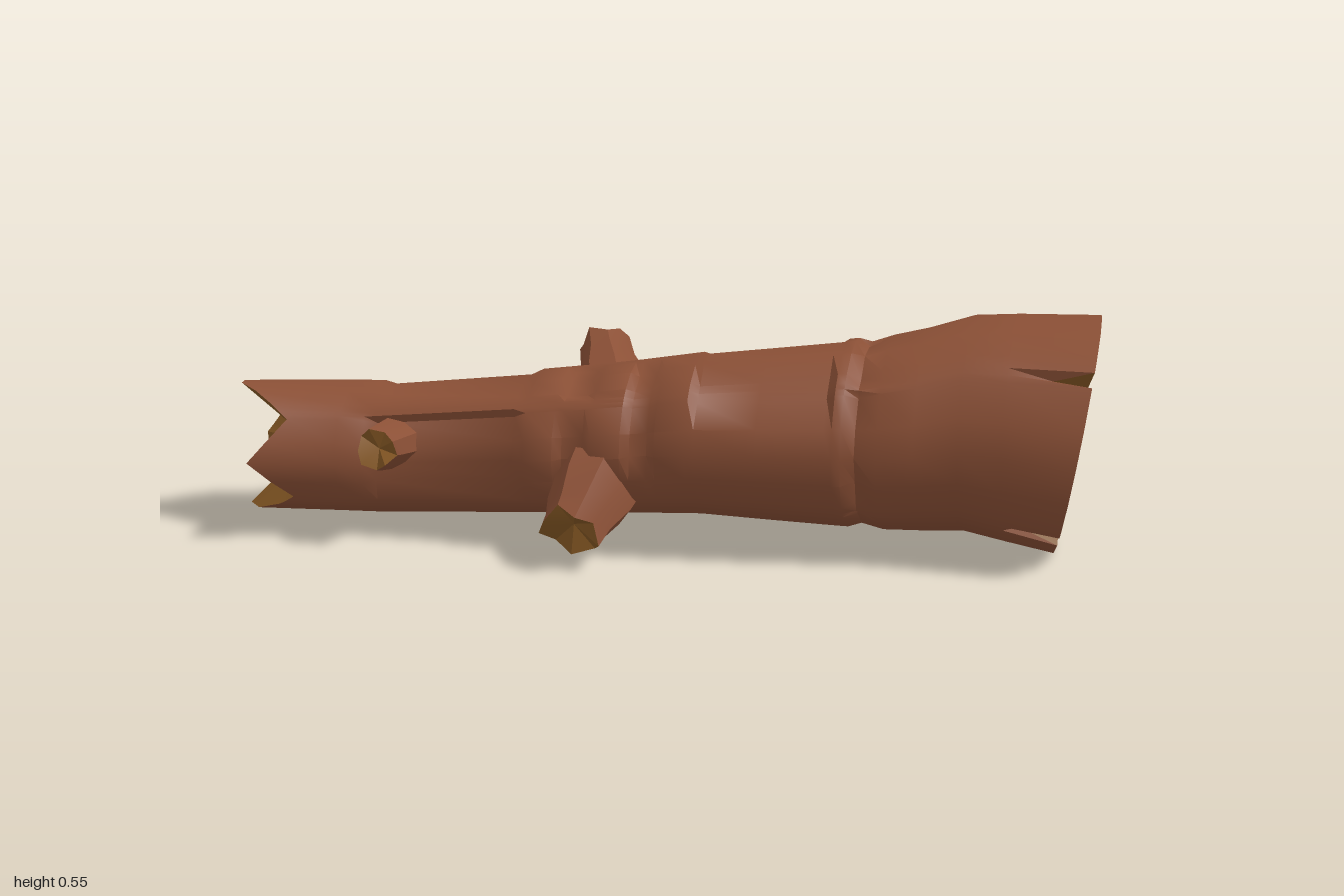
import * as THREE from 'three';
import { toCreasedNormals } from 'three/addons/utils/BufferGeometryUtils.js';

const RAD = Math.PI / 180;

// Skin over rings of points that run towards +x
function loft(rings) {
  const n = rings[0].length, index = [];
  for (let j = 0; j < rings.length - 1; j++) {
    for (let i = 0; i < n; i++) {
      const a = j * n + i, b = j * n + (i + 1) % n;
      index.push(a, a + n, b, b, a + n, b + n);
    }
  }
  return finish(rings.flat(2), index, 38);
}

// Fan closing one ring, facing +x or -x
function fan(ring, centre, facing) {
  const n = ring.length, index = [];
  for (let i = 0; i < n; i++) {
    const k = (i + 1) % n;
    index.push(n, facing > 0 ? k : i, facing > 0 ? i : k);
  }
  return finish([...ring.flat(), ...centre], index, 25);
}

function finish(points, index, crease) {
  const g = new THREE.BufferGeometry();
  g.setAttribute('position', new THREE.Float32BufferAttribute(points, 3));
  g.setIndex(index);
  return toCreasedNormals(g, crease * RAD);
}

// Linear lookup in rows of [key, values...]
function lookup(rows, key) {
  let k = 0;
  while (k < rows.length - 2 && key > rows[k + 1][0]) k++;
  const p = rows[k], q = rows[k + 1], t = (key - p[0]) / (q[0] - p[0]);
  return p.slice(1).map((v, i) => v + (q[i + 1] - v) * t);
}

// Trunk extents: x, bottom, top, back, front
const TRUNK = [
  [-1.00, 0.06, 0.35, 0.01, 0.325], [-0.95, 0.05, 0.35, -0.01, 0.315],
  [-0.80, 0.035, 0.345, -0.07, 0.25], [-0.70, 0.03, 0.34, -0.09, 0.23],
  [-0.30, 0.055, 0.39, -0.11, 0.235], [-0.10, 0.07, 0.42, -0.115, 0.245],
  [0.10, 0.08, 0.455, -0.13, 0.245], [0.35, 0.06, 0.48, -0.20, 0.225],
  [0.55, 0.045, 0.50, -0.255, 0.20], [0.70, 0.045, 0.543, -0.31, 0.185],
  [0.90, 0.00, 0.553, -0.362, 0.195], [1.00, 0.00, 0.553, -0.362, 0.20],
];

// Splintered end: angle, x of the rim
const SPLINTERS = [
  [0, -0.93], [38, -0.85], [95, -1.0], [150, -0.92], [190, -0.99],
  [235, -0.95], [275, -0.98], [325, -0.84], [360, -0.93],
];

// Sunken bark panels: x from, x to, angle from, angle to, depth
const PANELS = [
  [-0.66, -0.31, -35, 42, 0.11], [-0.66, -0.31, 68, 122, 0.07],
  [-0.66, -0.31, 160, 205, 0.08], [-0.66, -0.31, 235, 285, 0.05],
  [-0.21, -0.14, -50, 30, 0.08], [-0.21, -0.14, 50, 100, 0.07],
  [-0.21, -0.14, 195, 290, 0.08], [-0.05, 0.01, 0, 75, 0.08],
  [-0.05, 0.01, 120, 260, 0.06], [0.10, 0.41, 28, 62, 0.09],
  [0.10, 0.41, 95, 160, 0.05], [0.10, 0.41, 195, 250, 0.07],
];

const NOTCHES = [43, 105, 184, 246, 314];

// Angles around the trunk, with close triples at the notches
const angles = [];
for (let a = 0; a < 360; a += 18) {
  if (!NOTCHES.some(n => Math.abs(n - a) < 9)) angles.push(a);
}
NOTCHES.forEach(n => angles.push(n - 4, n, n + 4));
angles.sort((p, q) => p - q);

function relief(x, a, i) {
  let r = 1;
  for (const [x0, x1, a0, a1, depth] of PANELS) {
    const inside = [a, a - 360].some(v => v >= a0 && v <= a1);
    if (inside && x >= x0 && x <= x1) r -= depth;
  }
  // crevice below the flared butt
  if (x > 0.44 && x < 0.5) r -= 0.05 + 0.03 * (i % 3);
  return r;
}

function trunkPoint(x, a, scale) {
  const [bottom, top, back, front] = lookup(TRUNK, x);
  return [
    x,
    (bottom + top) / 2 + Math.sin(a * RAD) * (top - bottom) / 2 * scale,
    (back + front) / 2 + Math.cos(a * RAD) * (front - back) / 2 * scale,
  ];
}

export function createModel() {
  const bark = new THREE.MeshStandardMaterial({ color: 0x8b5036 });
  bark.name = 'bark';
  const wood = new THREE.MeshStandardMaterial({ color: 0x885a25 });
  wood.name = 'cut wood';
  const model = new THREE.Group();
  model.name = 'log';
  const add = (parent, name, geometry, material) => {
    const mesh = new THREE.Mesh(geometry, material);
    mesh.name = name;
    parent.add(mesh);
  };

  // Trunk with a splintered narrow end and a notched butt
  const xs = [-0.74, -0.68, -0.65, -0.32, -0.29, -0.22, -0.2, -0.15, -0.13,
    -0.06, -0.04, 0, 0.02, 0.09, 0.11, 0.25, 0.4, 0.42, 0.44, 0.47, 0.52, 0.6, 0.7, 0.8];
  const splintered = angles.map(a => trunkPoint(lookup(SPLINTERS, a)[0], a, 1));
  const butt = angles.map(a => {
    const notch = NOTCHES.includes(a);
    const x = 0.945 + 0.045 * Math.sin(a * RAD) + 0.02 * Math.cos(a * RAD);
    return trunkPoint(x - (notch ? 0.09 : 0), a, notch ? 0.93 : 1);
  });
  const body = xs.map(x => angles.map((a, i) => trunkPoint(x, a, relief(x, a, i))));
  add(model, 'trunk', loft([splintered, ...body, butt]), bark);
  add(model, 'splinteredEnd', fan(splintered, [-0.84, 0.2, 0.11], -1), wood);
  add(model, 'buttEnd', fan(butt, [0.92, 0.27, -0.08], 1), wood);

  // Broken branch stub: foot, tip, foot radius, tip radius
  function stub(name, foot, tip, r0, r1) {
    const from = new THREE.Vector3(...foot), axis = new THREE.Vector3(...tip).sub(from);
    const length = axis.length(), sides = 9;
    const ring = (t, r, jag) => Array.from({ length: sides }, (_, i) => {
      const a = i / sides * Math.PI * 2, k = r * (i % 3 ? 1 : 0.86);
      return [t * length - jag * (i % 2), Math.sin(a) * k, Math.cos(a) * k];
    });
    const end = ring(1, r1, r1 * 0.35);
    const group = new THREE.Group();
    group.name = name;
    add(group, 'stubBark', loft([ring(0, r0, 0), ring(0.45, r0 * 0.9, 0), ring(0.75, r1 * 1.08, 0), end]), bark);
    add(group, 'stubWood', fan(end, [length - r1 * 0.5, 0, 0], 1), wood);
    group.position.copy(from);
    group.quaternion.setFromUnitVectors(new THREE.Vector3(1, 0, 0), axis.normalize());
    model.add(group);
  }
  stub('frontStub', [-0.12, 0.2, 0.13], [-0.16, 0.085, 0.325], 0.115, 0.075);
  stub('backStub', [-0.12, 0.29, 0.02], [-0.19, 0.415, -0.155], 0.1, 0.062);
  stub('smallFrontStub', [-0.6, 0.23, 0.15], [-0.62, 0.25, 0.3], 0.065, 0.05);
  stub('smallBackStub', [-0.61, 0.19, -0.02], [-0.64, 0.16, -0.195], 0.07, 0.05);

  return model;
}
